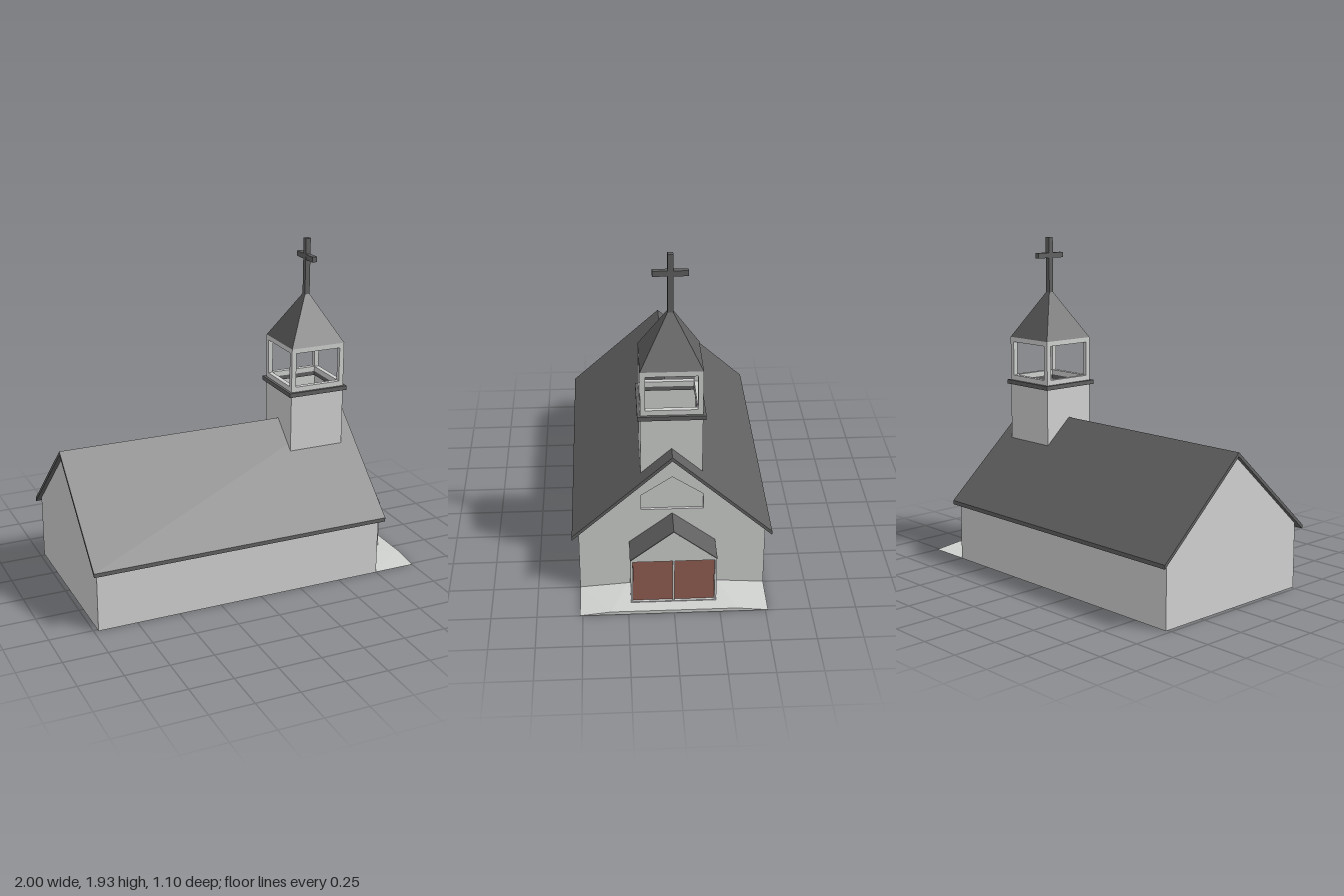
import * as THREE from 'three';

const wallMat = new THREE.MeshStandardMaterial({ color: 0xcfd1cf });
wallMat.name = 'paleWall';
const roofMat = new THREE.MeshStandardMaterial({ color: 0x606060 });
roofMat.name = 'darkRoof';
const doorMat = new THREE.MeshStandardMaterial({ color: 0x925f53 });
doorMat.name = 'brownDoor';

const TOWER_X = 0.513;

export function createModel() {
  const model = new THREE.Group();

  const add = (name, geometry, material) => {
    const mesh = new THREE.Mesh(geometry, material);
    mesh.name = name;
    model.add(mesh);
    return mesh;
  };

  const box = (name, w, h, d, x, y, z, material) =>
    add(name, new THREE.BoxGeometry(w, h, d).translate(x, y, z), material);

  const outline = (points) => points.map(([a, b]) => new THREE.Vector2(a, b));

  // Cross-section in (z, y), run along x from x0 to x1
  const alongX = (name, points, x0, x1, material, hole) => {
    const shape = new THREE.Shape(outline(points));
    if (hole) shape.holes.push(new THREE.Path(outline(hole)));
    const geo = new THREE.ExtrudeGeometry(shape, { depth: x1 - x0, bevelEnabled: false });
    return add(name, geo.rotateY(Math.PI / 2).translate(x0, 0, 0), material);
  };

  // Square frame lying flat around the tower axis
  const squareRing = (name, outer, inner, y0, y1, material) => {
    const square = (r) => outline([[-r, -r], [r, -r], [r, r], [-r, r]]);
    const shape = new THREE.Shape(square(outer));
    shape.holes.push(new THREE.Path(square(inner)));
    const geo = new THREE.ExtrudeGeometry(shape, { depth: y1 - y0, bevelEnabled: false });
    return add(name, geo.rotateX(-Math.PI / 2).translate(TOWER_X, y0, 0), material);
  };

  const house = (half, base, eave, ridge) =>
    [[-half, base], [half, base], [half, eave], [0, ridge], [-half, eave]];

  const gableRoof = (half, eave, ridge, t) =>
    [[-half, eave - t], [0, ridge - t], [half, eave - t], [half, eave], [0, ridge], [-half, eave]];

  // Nave with a recessed panel in the entrance gable
  const gable = house(0.515, 0, 0.374, 0.838);
  alongX('nave', gable, -0.975, 0.735, wallMat);
  alongX('entranceGable', gable, 0.735, 0.75, wallMat, house(0.17, 0.517, 0.61, 0.725));
  alongX('naveRoof', gableRoof(0.552, 0.364, 0.862, 0.023), -1, 0.775, roofMat);

  // Porch with double doors set back in its front wall
  const porch = house(0.235, 0, 0.3, 0.484);
  alongX('porch', porch, 0.74, 0.905, wallMat);
  alongX('porchFront', porch, 0.905, 0.925, wallMat,
    [[-0.224, 0.025], [0.224, 0.025], [0.224, 0.295], [-0.224, 0.295]]);
  alongX('porchRoof', gableRoof(0.238, 0.304, 0.49, 0.006), 0.75, 0.925, roofMat);
  for (const side of [1, -1]) {
    box(side > 0 ? 'leftDoor' : 'rightDoor', 0.008, 0.266, 0.217, 0.909, 0.16, side * 0.114, doorMat);
  }
  box('doorMullion', 0.016, 0.27, 0.011, 0.913, 0.16, 0, wallMat);

  // Landing, flat in the middle and sloping down to both sides
  const landing = new THREE.BoxGeometry(0.25, 0.02, 1.03, 1, 1, 3).translate(0.875, 0.01, 0);
  const pos = landing.attributes.position;
  for (let i = 0; i < pos.count; i++) {
    const z = pos.getZ(i);
    if (Math.abs(z) > 0.4) pos.setY(i, pos.getY(i) > 0.01 ? 0.001 : 0);
    else pos.setZ(i, Math.sign(z) * (pos.getX(i) > 0.9 ? 0.345 : 0.255));
  }
  const landingFlat = landing.toNonIndexed();
  landingFlat.computeVertexNormals();
  add('landing', landingFlat, wallMat);

  // Hollow tower, ledge and open belfry
  squareRing('tower', 0.168, 0.15, 0.65, 1.045, wallMat);
  squareRing('towerLedge', 0.184, 0.14, 1.045, 1.07, roofMat);
  squareRing('belfryBottomRail', 0.168, 0.14, 1.07, 1.1, wallMat);
  squareRing('belfryTopRail', 0.168, 0.14, 1.302, 1.33, wallMat);
  for (const sx of [1, -1]) {
    for (const sz of [1, -1]) {
      box('belfryPost', 0.028, 0.202, 0.028, TOWER_X + sx * 0.154, 1.201, sz * 0.154, wallMat);
    }
  }

  // Pyramid spire and cross
  const spire = new THREE.CylinderGeometry(0.015 * Math.SQRT2, 0.168 * Math.SQRT2, 0.27, 4)
    .rotateY(Math.PI / 4).translate(TOWER_X, 1.465, 0).toNonIndexed();
  spire.computeVertexNormals();
  add('spire', spire, roofMat);
  box('crossUpright', 0.03, 0.328, 0.03, TOWER_X, 1.763, 0, roofMat);
  box('crossArm', 0.029, 0.031, 0.19, TOWER_X, 1.82, 0, roofMat);

  return model;
}
